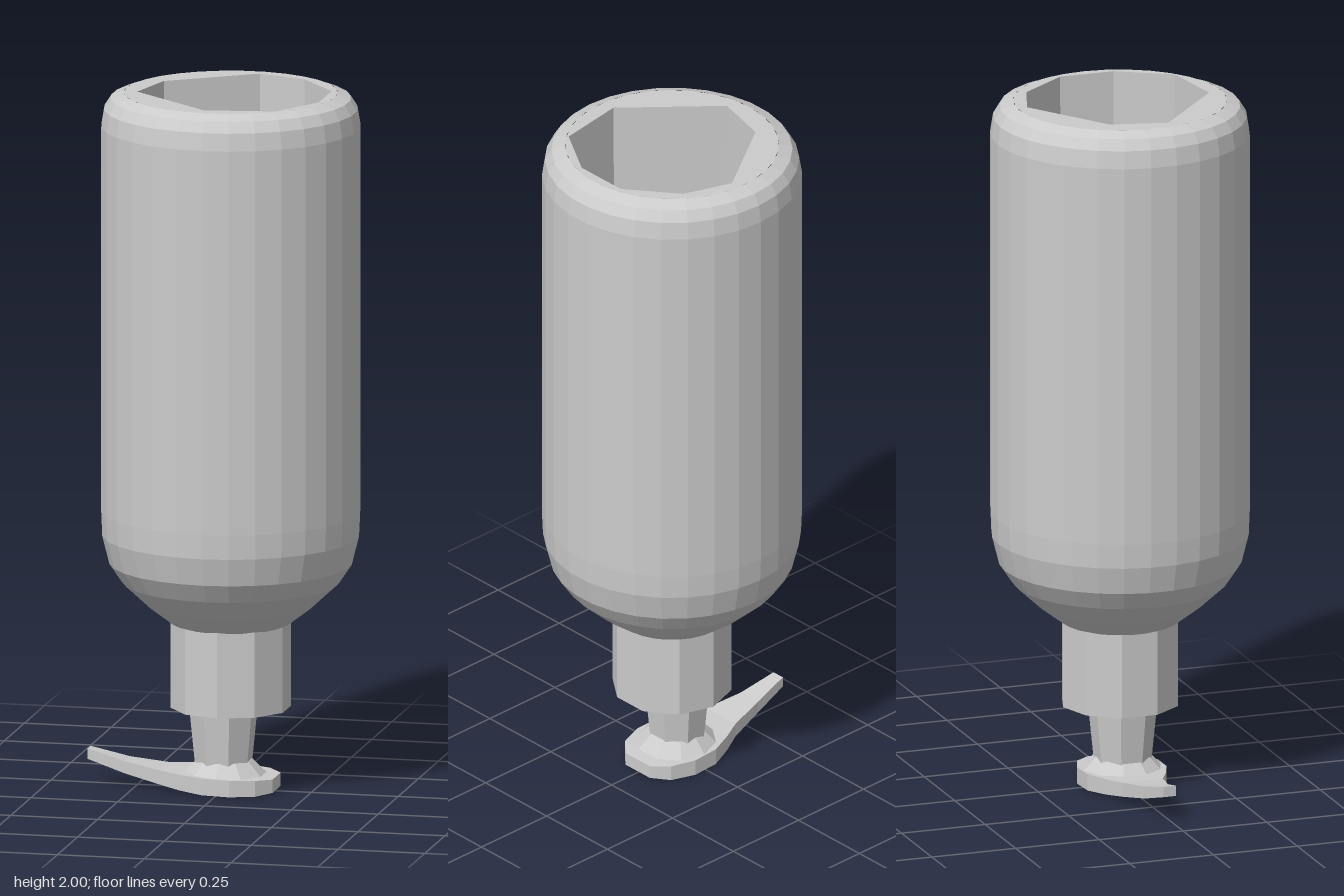
import * as THREE from 'three';

const AXIS = 0.018; // x of the bottle's axis

const material = new THREE.MeshStandardMaterial({ color: 0xcccccc, flatShading: true });
const thin = new THREE.MeshStandardMaterial({ color: 0xcccccc, flatShading: true, side: THREE.DoubleSide });

// Skin a list of rings (each a loop of [x, y, z]) with optional end caps
function loft(rings, capStart, capEnd) {
  const n = rings[0].length;
  const index = [];
  for (let r = 0; r < rings.length - 1; r++) {
    for (let i = 0; i < n; i++) {
      const a = r * n + i, b = r * n + (i + 1) % n;
      index.push(a, b, b + n, a, b + n, a + n);
    }
  }
  const last = (rings.length - 1) * n;
  for (let i = 1; i < n - 1; i++) {
    if (capStart) index.push(0, i + 1, i);
    if (capEnd) index.push(last, last + i, last + i + 1);
  }
  const geometry = new THREE.BufferGeometry();
  geometry.setAttribute('position', new THREE.Float32BufferAttribute(rings.flat(2), 3));
  geometry.setIndex(index);
  const flat = geometry.toNonIndexed();
  flat.computeVertexNormals();
  return flat;
}

export function createModel() {
  const group = new THREE.Group();
  const add = (name, geometry, x = 0, y = 0, mat = material) => {
    const mesh = new THREE.Mesh(geometry, mat);
    mesh.name = name;
    mesh.position.set(x, y, 0);
    group.add(mesh);
    return mesh;
  };

  // Bottle shell: shoulder, straight wall and rounded base edge
  const profile = [
    [0.15, 0.47], [0.17, 0.48], [0.235, 0.53], [0.305, 0.595], [0.342, 0.65],
    [0.362, 0.73], [0.365, 0.8], [0.365, 1.9], [0.357, 1.95], [0.338, 1.98], [0.3, 1.995],
  ].map(([r, y]) => new THREE.Vector2(r, y));
  add('bottleShell', new THREE.LatheGeometry(profile, 30), AXIS);

  // Irregular opening in the base, counter-clockwise from above as [x, z]
  const opening = [
    [0.29, -0.08], [0.18, -0.22], [0.04, -0.27], [-0.2, -0.11],
    [-0.24, 0.05], [0, 0.26], [0.2, 0.23], [0.29, 0.08],
  ];
  const neck = [
    [0.15, -0.05], [0.13, -0.1], [0.08, -0.11], [-0.11, -0.07],
    [-0.1, 0.02], [-0.07, 0.11], [0.11, 0.11], [0.14, 0.04],
  ];

  // Flat rim around the opening
  const rim = new THREE.Shape().absarc(AXIS, 0, 0.3, 0, Math.PI * 2);
  rim.holes.push(new THREE.Path(opening.map(([x, z]) => new THREE.Vector2(x, -z))));
  add('baseRim', new THREE.ShapeGeometry(rim, 15).rotateX(-Math.PI / 2), 0, 1.995, thin);

  // Hollow inside, narrowing into the neck
  const ring = (points, y, s) => points.map(([x, z]) => [x * s, y, z * s]);
  add('innerWall', loft([
    ring(opening, 1.995, 1), ring(opening, 0.8, 0.96), ring(neck, 0.5, 1), ring(neck, 0.26, 0.85),
  ], false, true), 0, 0, thin);

  // Pump body and bent, flared dip tube inside the bottle
  add('pumpBody', new THREE.CylinderGeometry(0.045, 0.062, 0.4, 8), 0.01, 0.46);
  const tube = [
    [0, 0.62, 0.025], [-0.09, 0.74, 0.02], [-0.21, 1.0, 0.08],
  ].map(([x, y, w]) => [[x + 0.02, y, w], [x + 0.02, y, -w], [x - 0.015, y, -w], [x - 0.015, y, w]]);
  add('dipTube', loft(tube, true, true));

  // Screw collar and stem
  add('collar', new THREE.CylinderGeometry(0.17, 0.17, 0.26, 10), AXIS, 0.365);
  add('stem', new THREE.CylinderGeometry(0.1, 0.08, 0.2, 8).rotateY(Math.PI / 8), -0.003, 0.16);

  // Pump head: sloped seat above a flat head that tapers into the spout
  add('headSeat', new THREE.CylinderGeometry(0.078, 0.118, 0.04, 10), 0, 0.065);
  const head = [ // x, bottom, top, half width
    [0.15, 0.004, 0.042, 0.05], [0.11, 0, 0.045, 0.095], [0.04, 0, 0.047, 0.12],
    [-0.04, 0.002, 0.05, 0.118], [-0.11, 0.007, 0.052, 0.09], [-0.17, 0.014, 0.055, 0.06],
    [-0.28, 0.037, 0.072, 0.035], [-0.39, 0.07, 0.1, 0.019],
  ].map(([x, b, t, w]) => [[x, b, -w], [x, b, w], [x, t, w], [x, t, -w]]);
  add('headAndSpout', loft(head, true, true));

  return group;
}
